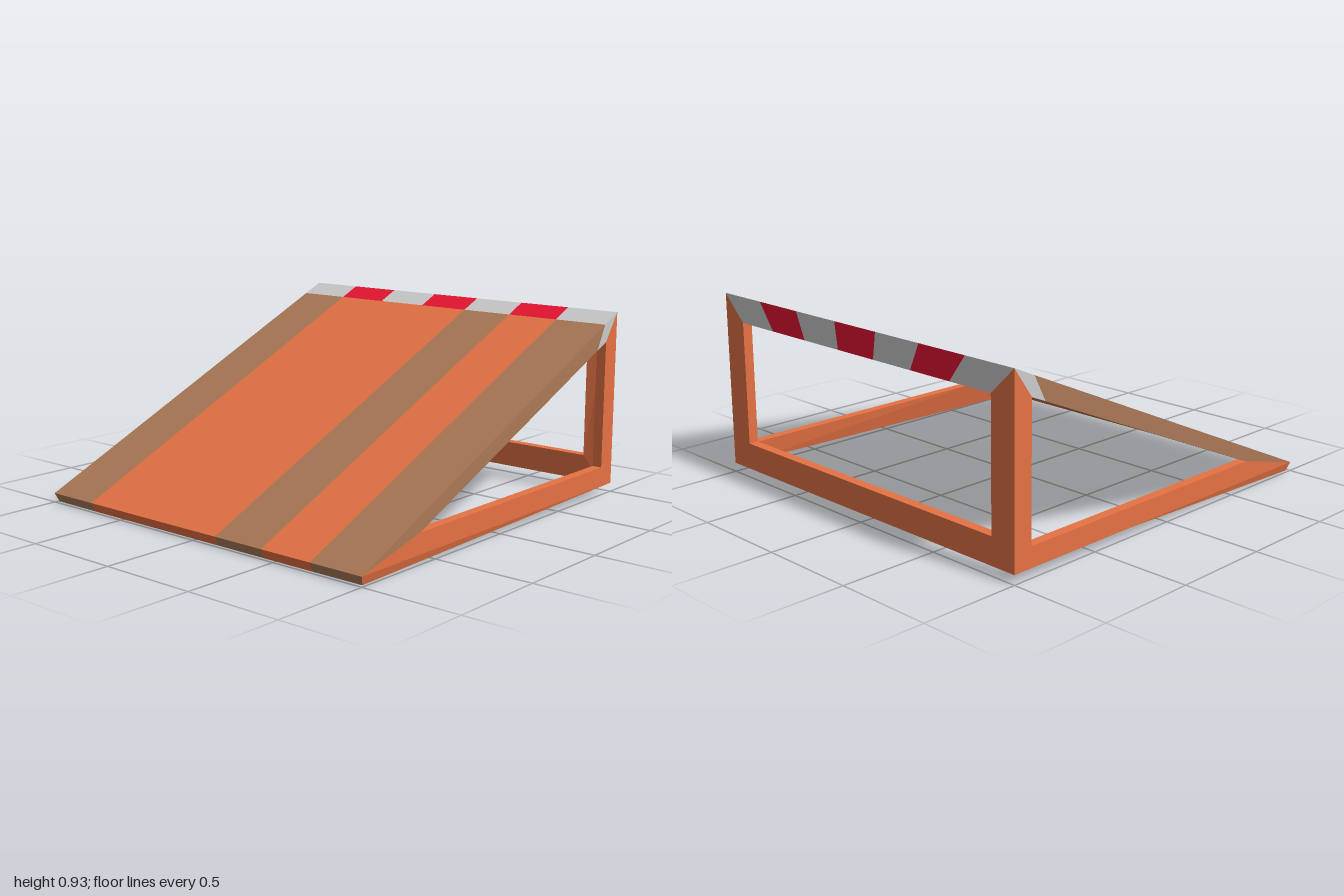
import * as THREE from 'three';

const BASE = 0.046, TOP = 0.93, THICK = 0.05, STRIPES = 7;
const RISE = (TOP - BASE) / 2;
const slopeY = z => BASE + RISE * (1 - z);

const material = color => new THREE.MeshStandardMaterial({ color, flatShading: true });

export function createModel() {
  const model = new THREE.Group();
  const orange = material(0xe67244), brown = material(0xab7856);
  const red = material(0xe81433), grey = material(0xcccccc);

  // Inner shell point: pushed in along the mean normal of the faces meeting at p
  const inset = p => {
    const [x, y, z] = p;
    const n = new THREE.Vector3();
    const onSlope = Math.abs(y - slopeY(z)) < 0.003;
    if (Math.abs(x) > 0.999) n.x += Math.sign(x) * (onSlope && z > 0.999 ? 0.26 : 1);
    if (z < -0.999) n.z -= 1;
    if (onSlope) n.add(new THREE.Vector3(0, 1, RISE).normalize());
    n.normalize().multiplyScalar(THICK);
    return [x - n.x, y - n.y, z - n.z];
  };

  // Thick four-cornered panel; rims lists the edges that are closed by a wall
  const panel = (name, mat, outer, rims, flip = false) => {
    const inner = outer.map(inset);
    const pos = [];
    const quad = (a, b, c, d) => {
      const q = flip ? [d, c, b, a] : [a, b, c, d];
      for (const i of [0, 1, 2, 0, 2, 3]) pos.push(...q[i]);
    };
    quad(...outer);
    quad(...[...inner].reverse());
    for (const i of rims) {
      const j = (i + 1) % 4;
      quad(outer[j], outer[i], inner[i], inner[j]);
    }
    const geo = new THREE.BufferGeometry();
    geo.setAttribute('position', new THREE.Float32BufferAttribute(pos, 3));
    geo.computeVertexNormals();
    const mesh = new THREE.Mesh(geo, mat);
    mesh.name = name;
    model.add(mesh);
  };

  // Ramp deck with lengthwise stripes, and the chequered band over its top edge
  const zBand = -0.885, hx = 0.865, backLow = 0.18, backHigh = 0.8;
  const deck = [brown, orange, orange, orange, brown, orange, brown];
  for (let k = 0; k < STRIPES; k++) {
    const x0 = -1 + 2 * k / STRIPES, x1 = -1 + 2 * (k + 1) / STRIPES;
    const band = k % 2 ? red : grey, yBand = slopeY(zBand);
    panel('deckStripe', deck[k],
      [[x0, BASE, 1], [x1, BASE, 1], [x1, yBand, zBand], [x0, yBand, zBand]], [0]);
    panel('topBand', band,
      [[x0, yBand, zBand], [x1, yBand, zBand], [x1, TOP, -1], [x0, TOP, -1]], []);
    panel('backBand', band,
      [[x0, TOP, -1], [x1, TOP, -1], [x1 * hx, backHigh, -1], [x0 * hx, backHigh, -1]], [2]);
  }

  // Lower rail of the back frame
  panel('backRail', orange,
    [[1, BASE, -1], [-1, BASE, -1], [-hx, backLow, -1], [hx, backLow, -1]], [0, 2]);

  // Triangular side frames and back posts, mirrored
  const front = [0.145, 0.61], low = [0.145, -0.9], high = [0.79, -0.9], cut = [0.756, -0.82];
  const toe = [BASE, 1], heel = [BASE, -1], peak = [TOP, -1], edge = [slopeY(zBand), zBand];
  for (const s of [1, -1]) {
    const flip = s < 0;
    const side = (name, mat, pts, rims) =>
      panel(name, mat, pts.map(([y, z]) => [s, y, z]), rims, flip);
    side('sideRail', orange, [toe, heel, low, front], [0, 2]);
    side('sidePost', orange, [heel, peak, high, low], [2]);
    side('sideBand', grey, [peak, edge, cut, high], [2]);
    side('sideSlopeBeam', brown, [edge, toe, front, cut], [2]);
    panel('backPost', orange,
      [[s, BASE, -1], [s * hx, backLow, -1], [s * hx, backHigh, -1], [s, TOP, -1]], [1], flip);
  }
  return model;
}
